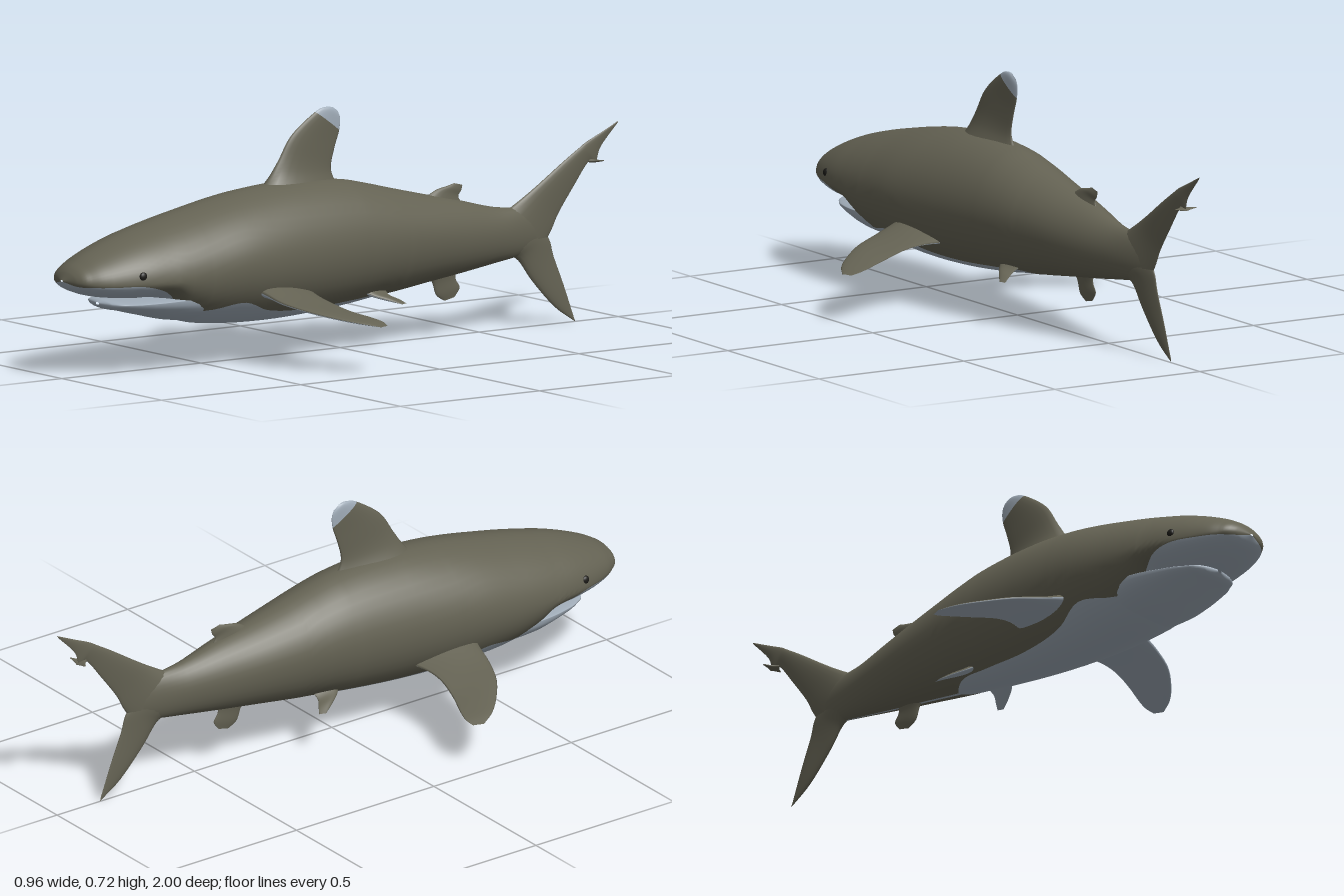
import * as THREE from 'three';

const paint = (name, color) => {
  const m = new THREE.MeshStandardMaterial({ color });
  m.name = name;
  return m;
};

// Smoothly resample rows of numbers; params must ascend
function smooth(rows, params, sub) {
  const spline = new THREE.CubicInterpolant(params, rows.flat(), rows[0].length, new Float32Array(rows[0].length));
  const out = [];
  for (let i = 0; i < rows.length - 1; i++) {
    for (let k = 0; k < sub; k++) {
      const t = params[i] + (params[i + 1] - params[i]) * k / sub;
      out.push(Array.from(spline.evaluate(t)));
    }
  }
  out.push(rows[rows.length - 1]);
  return out;
}

// Skin closed rings of Vector3; pick(i, j) chooses material 0 or 1 for each quad
function loft(rings, pick = () => 0) {
  const n = rings[0].length;
  const points = rings.flat();
  const lists = [[], []];
  for (let i = 0; i < rings.length - 1; i++) {
    for (let j = 0; j < n; j++) {
      const k = (j + 1) % n;
      const a = i * n + j, b = i * n + k, c = a + n, d = b + n;
      lists[pick(i, j)].push(a, b, d, a, d, c);
    }
  }
  // Turn the faces outward by checking the signed volume
  const centre = new THREE.Vector3();
  points.forEach(p => centre.addScaledVector(p, 1 / points.length));
  const rel = points.map(p => p.clone().sub(centre));
  let volume = 0;
  for (const list of lists) {
    for (let q = 0; q < list.length; q += 3) {
      volume += rel[list[q]].dot(rel[list[q + 1]].clone().cross(rel[list[q + 2]]));
    }
  }
  if (volume < 0) lists.forEach(list => list.reverse());
  const g = new THREE.BufferGeometry().setFromPoints(points);
  g.setIndex([...lists[0], ...lists[1]]);
  g.addGroup(0, lists[0].length, 0);
  g.addGroup(lists[0].length, lists[1].length, 1);
  g.computeVertexNormals();
  return g;
}

// Body loft: rows are [z, top, bottom, half width, widest y, colour split y]
function bodyLoft(rows) {
  const upper = 33, lower = 17;
  const rings = smooth(rows, rows.map(r => -r[0]), 5).map(([z, top, bottom, w, mid, split]) => {
    const a = Math.asin(THREE.MathUtils.clamp((split - mid) / (mid - bottom), -0.999, 0));
    const ring = [];
    const add = t => {
      const s = Math.sin(t), c = Math.cos(t);
      const x = Math.sign(c) * Math.pow(Math.abs(c), s > 0 ? 1.12 : 1) * w;
      ring.push(new THREE.Vector3(x, mid + s * (s > 0 ? top - mid : mid - bottom), z));
    };
    for (let j = 0; j < upper; j++) add(a + (Math.PI - 2 * a) * j / (upper - 1));
    for (let j = 1; j < lower; j++) add(Math.PI - a + (Math.PI + 2 * a) * j / lower);
    return ring;
  });
  return loft(rings, (i, j) => (j < upper - 1 ? 0 : 1));
}

// Fin loft: rows are [lead x, y, z, trail x, y, z, half thickness]
function finLoft(rows, normal, pick) {
  const sub = 5, n = 20;
  const rings = smooth(rows, rows.map((_, i) => i), sub).map(r => {
    const lead = new THREE.Vector3(r[0], r[1], r[2]);
    const trail = new THREE.Vector3(r[3], r[4], r[5]);
    return Array.from({ length: n }, (_, j) => {
      const t = 2 * Math.PI * j / n;
      const u = (1 - Math.cos(t)) / 2;
      return lead.clone().lerp(trail, u).addScaledVector(normal, Math.max(r[6], 0.001) * Math.sin(t) * (1.2 - 0.7 * u));
    });
  });
  return loft(rings, pick && ((i, j) => pick(i / sub, j / n)));
}

export function createModel() {
  const model = new THREE.Group();
  const hide = paint('olive brown hide', 0x646253);
  const pale = paint('pale grey belly', 0xa0acb8);
  const dark = paint('dark eye', 0x1c1b18);
  const coats = [hide, pale];
  const add = (name, geometry, material) => {
    const mesh = new THREE.Mesh(geometry, material);
    mesh.name = name;
    model.add(mesh);
    return mesh;
  };

  // Body with pale underside
  add('body', bodyLoft([
    [1.0, .292, .287, .006, .29, .288],
    [.985, .318, .268, .058, .29, .278],
    [.95, .345, .25, .096, .285, .276],
    [.9, .37, .236, .124, .282, .275],
    [.8, .407, .224, .157, .282, .272],
    [.7, .434, .212, .175, .283, .235],
    [.65, .446, .165, .181, .286, .19],
    [.58, .461, .134, .187, .29, .18],
    [.45, .487, .117, .192, .3, .195],
    [.35, .502, .112, .188, .305, .16],
    [.2, .512, .114, .175, .31, .145],
    [0, .5, .13, .153, .315, .152],
    [-.1, .478, .143, .14, .315, .158],
    [-.17, .46, .15, .129, .313, .15],
    [-.3, .428, .167, .106, .305, .167],
    [-.42, .4, .182, .08, .295, .182],
    [-.55, .367, .2, .049, .287, .2],
    [-.65, .354, .215, .026, .283, .215],
    [-.74, .33, .24, .004, .28, .24],
  ]), coats);

  // Lower jaw, set a little below the snout to leave the mouth open
  add('lowerJaw', bodyLoft([
    [.872, .216, .208, .008, .212, .212],
    [.86, .222, .198, .058, .212, .212],
    [.82, .222, .188, .1, .212, .212],
    [.75, .225, .17, .13, .214, .214],
    [.65, .228, .146, .152, .218, .218],
    [.55, .225, .135, .145, .215, .215],
  ]), pale);

  // Upright fins: rows are [lead z, y, trail z, y, half thickness]
  const side = new THREE.Vector3(1, 0, 0);
  const upright = (name, rows, pick) => add(name,
    finLoft(rows.map(([z, y, tz, ty, h]) => [0, y, z, 0, ty, tz, h]), side, pick), pick ? coats : hide);

  upright('dorsalFin', [
    [.34, .44, -.02, .44, .075],
    [.265, .515, .02, .5, .034],
    [.225, .57, .033, .54, .018],
    [.175, .645, .02, .595, .012],
    [.09, .706, .003, .645, .009],
    [.05, .718, 0, .68, .007],
    [.025, .714, .008, .702, .001],
  ], span => (span >= 4 ? 1 : 0));
  upright('secondDorsalFin', [
    [-.28, .4, -.44, .385, .018],
    [-.34, .434, -.425, .41, .009],
    [-.385, .444, -.435, .425, .006],
    [-.41, .45, -.44, .442, .001],
  ]);
  upright('analFin', [
    [-.3, .205, -.42, .205, .018],
    [-.33, .165, -.415, .168, .009],
    [-.345, .125, -.43, .14, .006],
    [-.375, .105, -.412, .113, .001],
  ]);
  upright('upperTailLobe', [
    [-.6, .352, -.73, .235, .024],
    [-.66, .386, -.76, .28, .015],
    [-.715, .42, -.785, .327, .011],
    [-.8, .476, -.84, .402, .009],
    [-.86, .513, -.892, .468, .007],
    [-.885, .528, -.92, .468, .006],
    [-.93, .548, -.937, .51, .004],
    [-1, .58, -.997, .574, .001],
  ]);
  upright('lowerTailLobe', [
    [-.6, .22, -.725, .285, .024],
    [-.64, .2, -.753, .25, .015],
    [-.69, .135, -.768, .2, .01],
    [-.77, .052, -.803, .115, .007],
    [-.845, .001, -.842, .01, .001],
  ]);

  // Paired parts
  const up = new THREE.Vector3(0, 1, 0);
  for (const [label, s] of [['left', 1], ['right', -1]]) {
    const paired = (name, rows) => add(label + name,
      finLoft(rows.map(r => [s * r[0], r[1], r[2], s * r[3], r[4], r[5], r[6]]), up, (span, j) => (j < 0.5 ? 0 : 1)), coats);

    paired('PectoralFin', [
      [.12, .235, .42, .12, .2, .19, .034],
      [.185, .217, .402, .19, .195, .21, .019],
      [.25, .198, .388, .255, .185, .212, .012],
      [.33, .181, .355, .33, .168, .196, .009],
      [.4, .164, .302, .4, .156, .17, .007],
      [.452, .151, .248, .44, .148, .16, .005],
      [.482, .14, .195, .47, .14, .165, .001],
    ]);
    paired('PelvicFin', [
      [.05, .19, -.01, .05, .18, -.12, .018],
      [.09, .164, -.045, .085, .158, -.115, .009],
      [.118, .149, -.085, .113, .146, -.132, .006],
      [.14, .135, -.125, .134, .135, -.145, .001],
    ]);

    // Small spur at the notch of the upper tail lobe
    add(label + 'TailSpur', finLoft([
      [0, .472, -.89, 0, .468, -.93, .006],
      [s * .015, .472, -.908, s * .015, .47, -.926, .004],
      [s * .037, .474, -.922, s * .037, .474, -.926, .001],
    ], up), hide);

    const eye = add(label + 'Eye', new THREE.SphereGeometry(.013, 16, 12), dark);
    eye.position.set(s * .148, .304, .813);
    eye.scale.x = .6;
  }
  return model;
}
